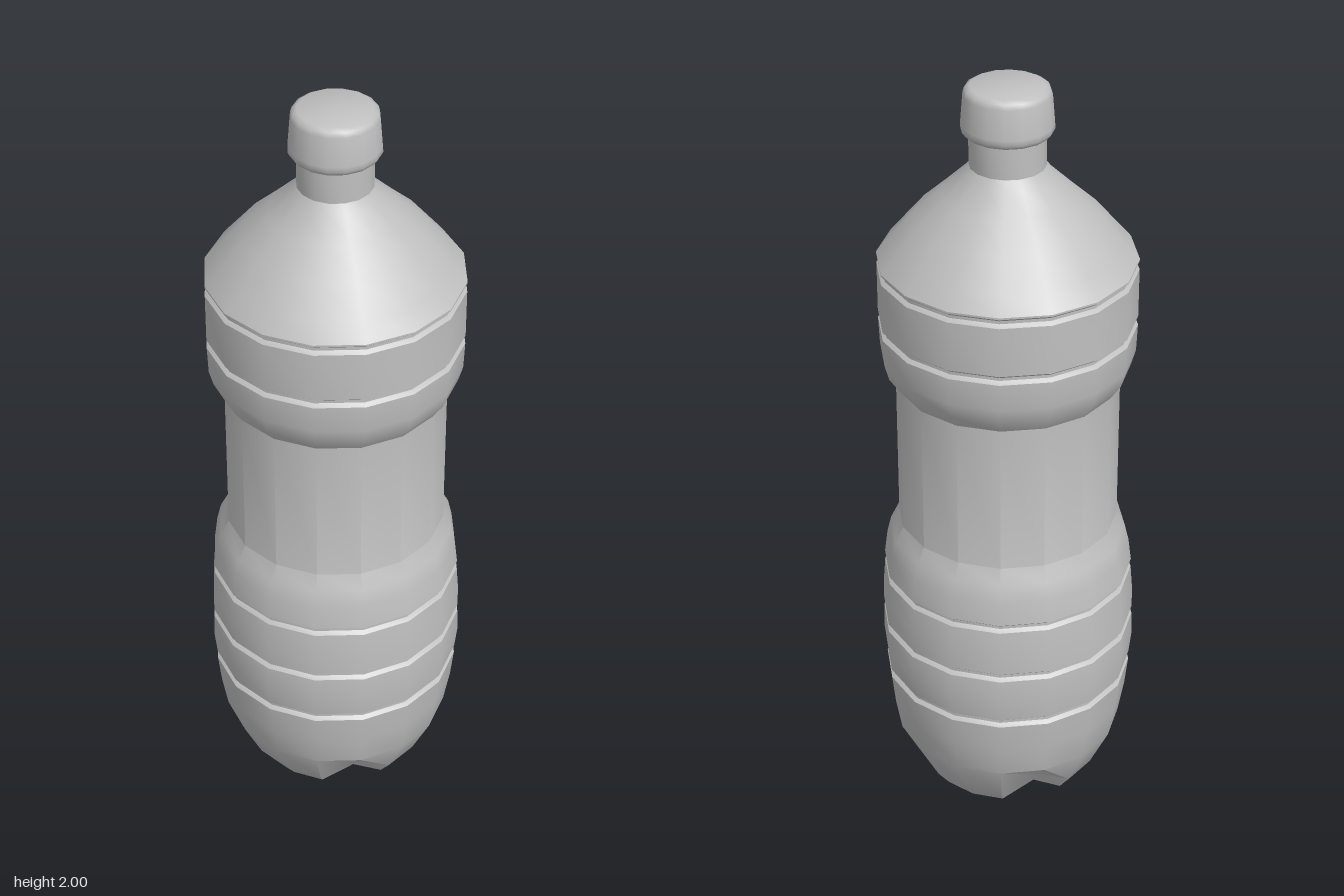
import * as THREE from 'three';
import { toCreasedNormals } from 'three/addons/utils/BufferGeometryUtils.js';

const SIDES = 16;

function lathe(points) {
  return new THREE.LatheGeometry(points.map(([r, y]) => new THREE.Vector2(r, y)), SIDES);
}

// Narrow pinched ring between two bands
function groove(r, y) {
  return [[r, y - 0.012], [r - 0.01, y - 0.004], [r - 0.01, y + 0.004], [r, y + 0.012]];
}

export function createModel() {
  const plastic = new THREE.MeshStandardMaterial({ color: 0xc0c0c0 });
  plastic.name = 'grey plastic';
  const group = new THREE.Group();
  group.name = 'bottle';

  const add = (name, geometry, crease) => {
    const mesh = new THREE.Mesh(toCreasedNormals(geometry, crease), plastic);
    mesh.name = name;
    group.add(mesh);
  };

  // Body: base, ribbed lower part, waist, ribbed upper part, shoulder, neck
  const body = lathe([
    [0, 0.075], [0.08, 0.06], [0.175, 0.006], [0.215, 0.004], [0.25, 0.05], [0.302, 0.16], [0.318, 0.25],
    ...groove(0.327, 0.345),
    [0.334, 0.42],
    ...groove(0.332, 0.495),
    [0.331, 0.57],
    ...groove(0.326, 0.645),
    [0.318, 0.72], [0.307, 0.765], [0.285, 0.805],
    [0.285, 1.21], [0.312, 1.25], [0.323, 1.29],
    ...groove(0.326, 1.375),
    ...groove(0.326, 1.53),
    [0.326, 1.547], [0.29, 1.59], [0.23, 1.662], [0.165, 1.722], [0.11, 1.775], [0.095, 1.795],
    [0.095, 1.89],
  ]);

  // Four feet: lift the base along the x and z axes to form the valleys
  const p = body.attributes.position;
  for (let i = 0; i < p.count; i++) {
    const x = p.getX(i), y = p.getY(i), z = p.getZ(i);
    const r = Math.hypot(x, z);
    const onAxis = Math.min(Math.abs(x), Math.abs(z)) < 0.001;
    if (onAxis && r > 0.1 && y < 0.1) p.setY(i, y + 0.057);
  }
  add('body', body, 0.55);

  // Cap with a flared lower rim and rounded top edge
  add('cap', lathe([
    [0.09, 1.878], [0.106, 1.88], [0.115, 1.892], [0.114, 1.905],
    [0.108, 1.98], [0.104, 1.993], [0.092, 2], [0, 2],
  ]), 0.9);

  return group;
}
